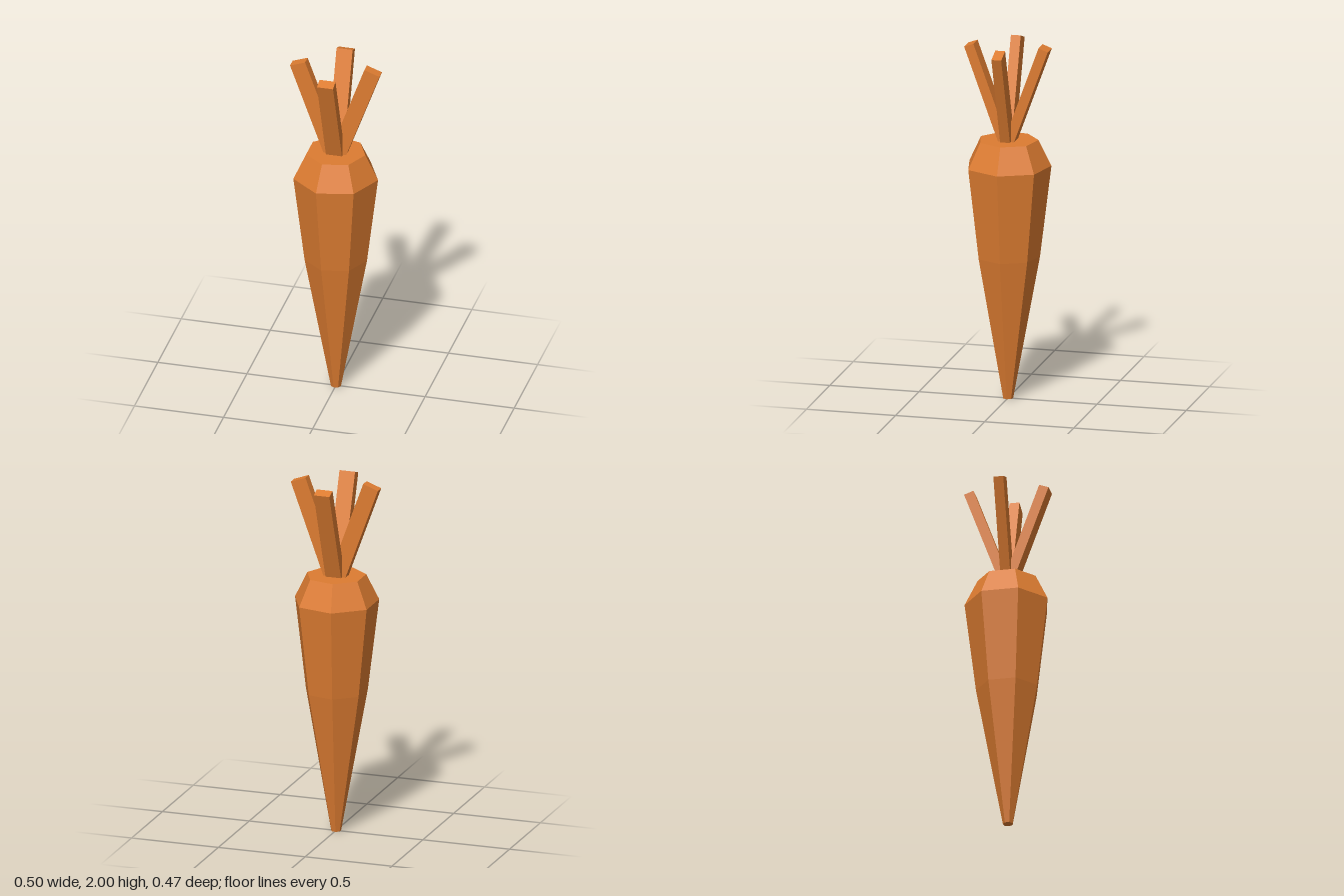
import * as THREE from 'three';

export function createModel() {
  const model = new THREE.Group();
  model.name = 'carrot';
  const orange = new THREE.MeshStandardMaterial({ color: 0xdd7c31, flatShading: true });
  orange.name = 'carrot orange';

  // Seven-sided tapering root, one corner facing +x
  const profile = [
    [0, 0], [0.028, 0], [0.174, 0.8], [0.236, 1.31], [0.165, 1.455], [0, 1.455],
  ].map(([r, y]) => new THREE.Vector2(r, y));
  const root = new THREE.Mesh(new THREE.LatheGeometry(profile, 7, Math.PI / 2), orange);
  root.name = 'root';
  model.add(root);

  // Four flat stalks leaning outwards 20 degrees from inside the crown
  const length = 0.61;
  const lean = THREE.MathUtils.degToRad(20);
  const stalkGeometry = new THREE.BoxGeometry(0.09, length, 0.055).translate(0, length / 2, 0);
  const addStalk = (name, rx, rz) => {
    const stalk = new THREE.Mesh(stalkGeometry, orange);
    stalk.name = name;
    stalk.position.y = 1.411;
    stalk.rotation.set(rx, 0, rz);
    model.add(stalk);
  };
  addStalk('leftStalk', 0, -lean);
  addStalk('rightStalk', 0, lean);
  addStalk('frontStalk', lean, 0);
  addStalk('backStalk', -lean, 0);

  return model;
}
